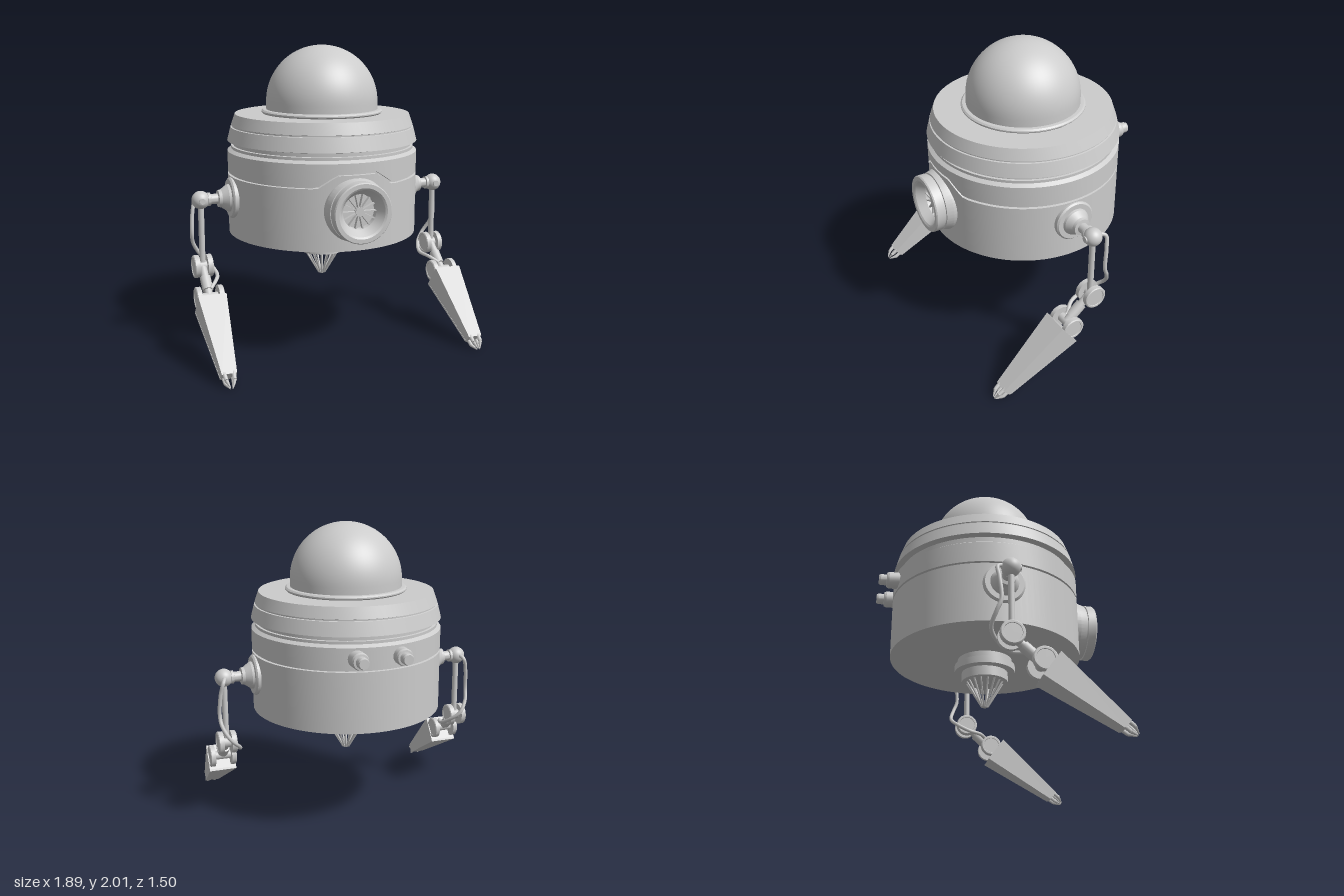
import * as THREE from 'three';
import { toCreasedNormals } from 'three/addons/utils/BufferGeometryUtils.js';

const grey = new THREE.MeshStandardMaterial({ color: 0xcccccc, side: THREE.DoubleSide });

function add(parent, name, geometry, x = 0, y = 0, z = 0) {
  const mesh = new THREE.Mesh(geometry, grey);
  mesh.name = name;
  mesh.position.set(x, y, z);
  parent.add(mesh);
  return mesh;
}

function group(parent, name, x = 0, y = 0, z = 0) {
  const g = new THREE.Group();
  g.name = name;
  g.position.set(x, y, z);
  parent.add(g);
  return g;
}

// Turned part from [radius, height] pairs, with an optional rule for its vertices
function turned(profile, segments = 48, rule = null) {
  const geo = new THREE.LatheGeometry(profile.map(([r, h]) => new THREE.Vector2(r, h)), segments);
  if (rule) {
    const p = geo.attributes.position, v = new THREE.Vector3();
    for (let i = 0; i < p.count; i++) {
      rule(v.fromBufferAttribute(p, i));
      p.setXYZ(i, v.x, v.y, v.z);
    }
  }
  return toCreasedNormals(geo, 0.3);
}

// Straight bar between two points
function bar(parent, name, a, b, r1, r2 = r1, sides = 16) {
  const from = new THREE.Vector3(...a), to = new THREE.Vector3(...b);
  const dir = to.clone().sub(from);
  const mesh = add(parent, name, new THREE.CylinderGeometry(r2, r1, dir.length(), sides));
  mesh.position.copy(from).add(to).multiplyScalar(0.5);
  mesh.quaternion.setFromUnitVectors(new THREE.Vector3(0, 1, 0), dir.normalize());
  return mesh;
}

// The seam steps up over the front eye
function raiseSeam(v) {
  if (v.z > 0 && v.y > 1.14 && v.y < 1.17) {
    v.y += 0.08 * THREE.MathUtils.clamp((0.25 - Math.abs(v.x)) / 0.12, 0, 1);
  }
}

function buildBody(root) {
  add(root, 'body', turned([
    [0, 0.75], [0.64, 0.75], [0.64, 1.15], [0.622, 1.152], [0.622, 1.163], [0.64, 1.165],
    [0.64, 1.305], [0.615, 1.322], [0.615, 1.34], [0.6, 1.342], [0.6, 1.365], [0.64, 1.373],
    [0.617, 1.463], [0.606, 1.465], [0.606, 1.474], [0.613, 1.476], [0.587, 1.55], [0.38, 1.55],
  ], 96, raiseSeam));
  add(root, 'domeCollar', turned([
    [0.4, 1.55], [0.408, 1.558], [0.408, 1.566], [0.398, 1.575], [0.384, 1.577], [0.36, 1.577],
  ], 64));
  const dome = [[0.375, 1.55]];
  for (let i = 0; i <= 20; i++) {
    const t = (i / 20) * Math.PI / 2;
    dome.push([0.375 * Math.cos(t), 1.625 + 0.375 * Math.sin(t)]);
  }
  add(root, 'dome', turned(dome, 64));
}

function buildEye(root) {
  const eye = group(root, 'frontEye', -0.008, 1.01, 0.01);
  eye.rotation.x = Math.PI / 2;
  add(eye, 'eyeHousing', turned([
    [0.205, 0.5], [0.205, 0.62], [0.192, 0.665], [0.183, 0.667], [0.183, 0.676], [0.192, 0.678],
    [0.192, 0.73], [0.186, 0.738], [0.16, 0.738], [0.148, 0.73], [0.112, 0.675], [0.108, 0.645], [0, 0.645],
  ]));
  add(eye, 'eyeHub', new THREE.CylinderGeometry(0.028, 0.028, 0.035, 24), 0, 0.662, 0);
  for (let i = 0; i < 14; i++) {
    const a = (i / 14) * Math.PI * 2;
    const blade = add(eye, 'eyeBlade', new THREE.BoxGeometry(0.085, 0.025, 0.008),
      Math.cos(a) * 0.068, 0.662, Math.sin(a) * 0.068);
    blade.rotation.y = -a;
  }
}

function buildNozzle(root) {
  add(root, 'nozzleCollar', turned([
    [0.183, 0.76], [0.183, 0.71], [0.203, 0.708], [0.203, 0.66], [0.155, 0.657], [0.155, 0.592], [0, 0.592],
  ].reverse()));
  // Cage of slender ribs converging on the tip
  for (let i = 0; i < 16; i++) {
    const a = (i / 16) * Math.PI * 2, c = Math.cos(a), s = Math.sin(a);
    bar(root, 'nozzleRib', [c * 0.125, 0.6, s * 0.125], [c * 0.022, 0.425, s * 0.022], 0.007, 0.006, 6);
  }
  add(root, 'nozzleTip', new THREE.CylinderGeometry(0.026, 0.02, 0.018, 16), 0, 0.429, 0);
}

function buildPlug(root, x) {
  const plug = group(root, 'backPlug', x, 1.235, 0);
  plug.rotation.x = -Math.PI / 2;
  add(plug, 'plugBody', turned([
    [0.056, 0.58], [0.056, 0.68], [0.05, 0.695], [0.037, 0.697], [0.037, 0.735], [0.032, 0.748], [0, 0.748],
  ], 24));
}

// Pair of joint discs turning about x
function discs(parent, name, radius, width, offset) {
  for (const s of [-1, 1]) {
    const disc = group(parent, name, s * offset, 0, 0);
    disc.rotation.z = -s * Math.PI / 2;
    const h = width / 2;
    add(disc, name + 'Rim', turned([
      [0, -h], [radius, -h], [radius, h - 0.005], [radius - 0.006, h], [radius - 0.018, h],
      [radius - 0.02, h - 0.004], [0, h - 0.004],
    ], 32));
  }
}

// Box narrowing along -y from its top at y = 0
function taperedBox(w1, d1, w2, d2, length) {
  const geo = new THREE.BoxGeometry(1, length, 1).toNonIndexed();
  geo.translate(0, -length / 2, 0);
  const p = geo.attributes.position;
  for (let i = 0; i < p.count; i++) {
    const low = p.getY(i) < -length / 2;
    p.setX(i, p.getX(i) * (low ? w2 : w1));
    p.setZ(i, p.getZ(i) * (low ? d2 : d1));
  }
  geo.computeVertexNormals();
  return geo;
}

function buildArm(root, side, name) {
  const arm = group(root, name, 0, 1.01, 0.01);
  // Shoulder mount on the body wall
  const shoulder = group(arm, 'shoulder');
  shoulder.rotation.z = -side * Math.PI / 2;
  add(shoulder, 'shoulderMount', turned([
    [0.135, 0.58], [0.135, 0.65], [0.125, 0.66], [0.092, 0.66], [0.088, 0.675], [0.06, 0.715],
    [0.056, 0.735], [0.034, 0.738], [0.034, 0.785], [0.044, 0.788], [0.044, 0.805], [0.02, 0.81],
  ], 32));
  const x = side * 0.85;
  add(arm, 'shoulderBall', new THREE.SphereGeometry(0.06, 32, 20), x, 0, 0);
  const cap = bar(arm, 'shoulderBolt', [x, 0, 0.04], [x, 0, 0.063], 0.025, 0.02);
  cap.name = 'shoulderBolt';

  // Upper arm and elbow
  bar(arm, 'upperArm', [x, -0.03, 0], [x, -0.42, 0], 0.02);
  const elbow = group(arm, 'elbow', x, -0.45, -0.005);
  discs(elbow, 'elbowDisc', 0.076, 0.036, 0.044);
  bar(elbow, 'elbowAxle', [-0.05, 0, 0], [0.05, 0, 0], 0.035);

  // Forearm link and wrist
  bar(arm, 'forearm', [x, -0.45, 0], [x, -0.61, 0.18], 0.026);
  bar(arm, 'forearmSleeve', [x, -0.51, 0.065], [x, -0.575, 0.14], 0.036);
  const hand = group(arm, 'hand', x, -0.61, 0.175);
  hand.rotation.x = -0.937;
  discs(hand, 'wristDisc', 0.074, 0.034, 0.073);
  bar(hand, 'wristAxle', [-0.08, 0, 0], [0.08, 0, 0], 0.03);

  // Tapered hand with a base plate beneath
  add(hand, 'handShell', taperedBox(0.186, 0.18, 0.095, 0.062, 0.545), 0, -0.045, 0);
  const plate = add(hand, 'handPlate', taperedBox(0.188, 0.014, 0.1, 0.012, 0.54), 0, -0.045, -0.09);
  plate.rotation.x = -0.11;
  // Pointed fingers gathered at the end
  for (const fx of [-1, 1]) {
    for (const fz of [-1, 1]) {
      bar(hand, 'finger', [fx * 0.03, -0.575, fz * 0.021], [fx * 0.026, -0.625, fz * 0.021], 0.014, 0.013, 8);
      bar(hand, 'fingerTip', [fx * 0.026, -0.625, fz * 0.021], [fx * 0.008, -0.672, fz * 0.006], 0.013, 0.003, 8);
    }
  }

  // Cable from shoulder to wrist
  const path = [
    [0.85, 0.01, -0.04], [0.87, -0.01, -0.085], [0.89, -0.09, -0.08], [0.9, -0.24, -0.07], [0.89, -0.31, -0.095],
    [0.84, -0.4, -0.12], [0.785, -0.46, -0.075], [0.757, -0.51, 0.01], [0.785, -0.525, 0.1], [0.835, -0.56, 0.16],
  ].map(([px, py, pz]) => new THREE.Vector3(side * px, py, pz));
  add(arm, 'cable', new THREE.TubeGeometry(new THREE.CatmullRomCurve3(path), 80, 0.013, 10));
}

export function createModel() {
  const model = new THREE.Group();
  model.name = 'robot';
  const root = group(model, 'assembly', -0.005, 0, -0.01);
  buildBody(root);
  buildEye(root);
  buildNozzle(root);
  buildPlug(root, -0.14);
  buildPlug(root, 0.15);
  buildArm(root, 1, 'leftArm');
  buildArm(root, -1, 'rightArm');
  return model;
}
